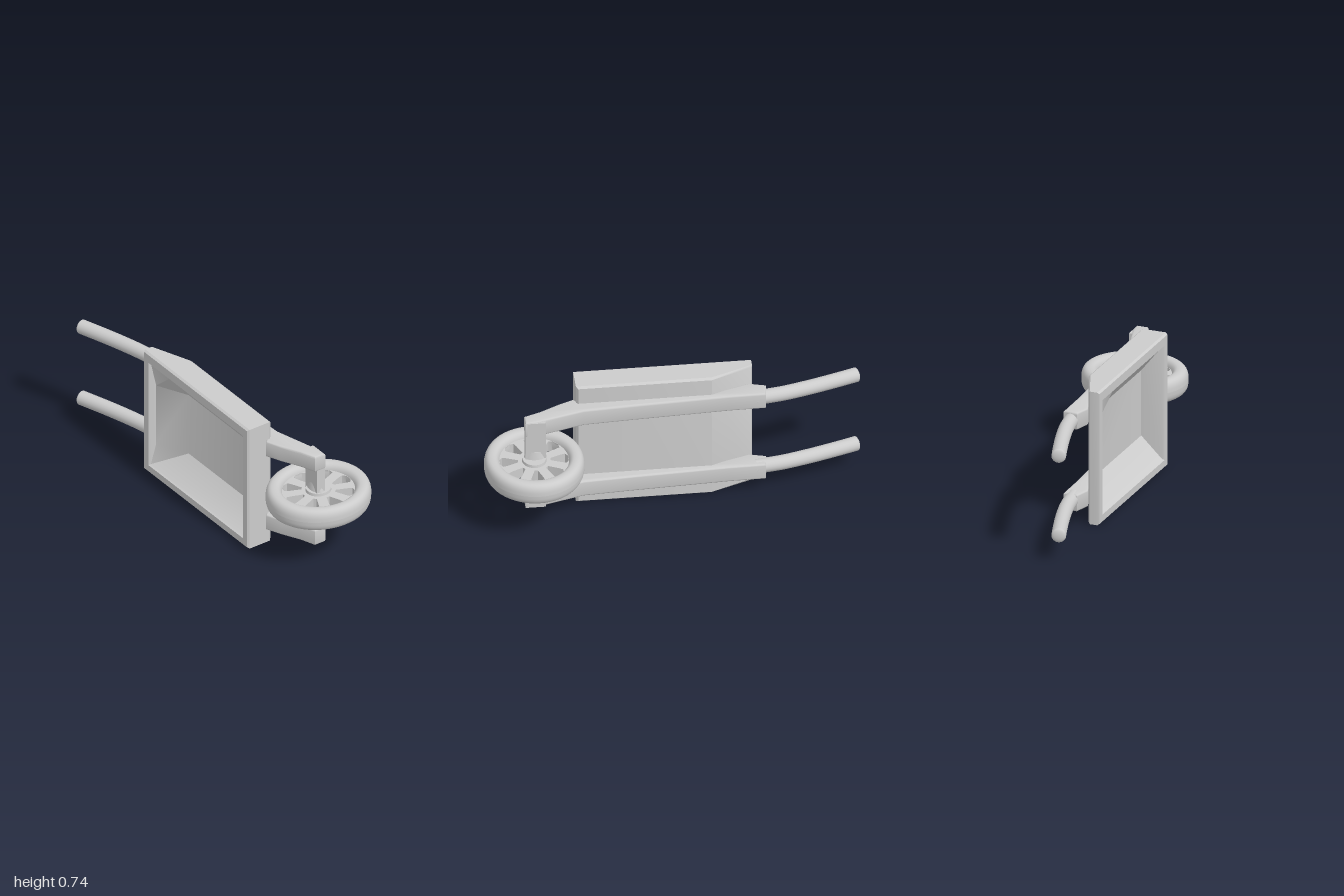
import * as THREE from 'three';
import { toCreasedNormals } from 'three/addons/utils/BufferGeometryUtils.js';

const material = new THREE.MeshStandardMaterial({ color: 0xcccccc });
const MID_Y = 0.366;

function mesh(name, geometry) {
  const m = new THREE.Mesh(geometry, material);
  m.name = name;
  return m;
}

// Extrudes an x/z outline along y, centred on the given height
function slab(shape, centreY, height, bevel) {
  const depth = height - 2 * bevel;
  const g = new THREE.ExtrudeGeometry(shape, {
    depth, bevelEnabled: bevel > 0, bevelSize: bevel, bevelThickness: bevel,
    bevelOffset: -bevel, bevelSegments: 3, curveSegments: 24,
  });
  g.rotateX(Math.PI / 2);
  g.translate(0, centreY + depth / 2, 0);
  return toCreasedNormals(g, 0.7);
}

// Hollow tray: six-cornered rings joined from the underside, over the rim, to the floor
function trayGeometry() {
  const ring = (x0, x1, x2, y0, y1, z0, z1) => [
    [x0, y0, z0], [x1, y0, z1], [x2, y0, z1],
    [x2, y1, z1], [x1, y1, z1], [x0, y1, z0],
  ];
  const rings = [
    ring(-0.425, -0.21, 0.492, 0.014, 0.736, 0.2, 0.11),
    ring(-0.43, -0.21, 0.503, 0.004, 0.746, 0.208, 0.122),
    ring(-0.43, -0.21, 0.503, 0.004, 0.746, 0.25, 0.25),
    ring(-0.427, -0.21, 0.495, 0.012, 0.738, 0.262, 0.262),
    ring(-0.385, -0.21, 0.458, 0.05, 0.69, 0.262, 0.262),
    ring(-0.38, -0.21, 0.452, 0.055, 0.683, 0.25, 0.25),
    ring(-0.372, -0.2, 0.44, 0.175, 0.54, 0.222, 0.137),
  ];
  const pos = [];
  const quad = (a, b, c, d) => pos.push(...a, ...b, ...c, ...a, ...c, ...d);
  for (let i = 0; i < rings.length - 1; i++) {
    const a = rings[i], b = rings[i + 1];
    for (let k = 0; k < 6; k++) {
      const n = (k + 1) % 6;
      quad(a[k], a[n], b[n], b[k]);
    }
  }
  const u = rings[0], f = rings[rings.length - 1];
  quad(u[0], u[5], u[4], u[1]);
  quad(u[1], u[4], u[3], u[2]);
  quad(f[0], f[1], f[4], f[5]);
  quad(f[1], f[2], f[3], f[4]);
  const g = new THREE.BufferGeometry();
  g.setAttribute('position', new THREE.Float32BufferAttribute(pos, 3));
  g.computeVertexNormals();
  return toCreasedNormals(g, 0.5);
}

// Rail outline, from the handle socket to the axle bracket
function railShape() {
  const s = new THREE.Shape();
  s.moveTo(-0.49, 0.085);
  s.lineTo(-0.3, 0.083);
  s.lineTo(0.2, 0.06);
  s.lineTo(0.47, 0.045);
  s.lineTo(0.72, -0.026);
  s.lineTo(0.785, -0.032);
  s.lineTo(0.785, 0.034);
  s.lineTo(0.7, 0.066);
  s.lineTo(0.6, 0.118);
  s.lineTo(0.515, 0.155);
  s.lineTo(0.495, 0.135);
  s.lineTo(-0.22, 0.13);
  s.lineTo(-0.41, 0.19);
  s.lineTo(-0.5, 0.165);
  s.closePath();
  return s;
}

// Wheel disc with eight tapered openings
function discShape() {
  const s = new THREE.Shape();
  s.absarc(0, 0, 0.212, 0, Math.PI * 2);
  for (let i = 0; i < 8; i++) {
    const a = (i * Math.PI) / 4;
    const at = (r, t) => new THREE.Vector2(r * Math.cos(a + t), r * Math.sin(a + t));
    const hole = new THREE.Path();
    hole.setFromPoints([
      at(0.09, -0.1), at(0.15, -0.21), at(0.178, -0.22), at(0.19, -0.1),
      at(0.19, 0.1), at(0.178, 0.22), at(0.15, 0.21), at(0.09, 0.1),
    ]);
    hole.closePath();
    s.holes.push(hole);
  }
  return s;
}

function createWheel() {
  const wheel = new THREE.Group();
  wheel.name = 'wheel';
  // Rounded tyre section swept round the axle
  const profile = [];
  for (let i = 0; i <= 28; i++) {
    const t = (i / 28) * Math.PI * 2;
    const c = Math.cos(t), n = Math.sin(t);
    profile.push(new THREE.Vector2(
      0.232 + 0.044 * Math.sign(c) * Math.abs(c) ** 0.8,
      0.063 * Math.sign(n) * Math.abs(n) ** 0.8));
  }
  wheel.add(mesh('tyre', new THREE.LatheGeometry(profile, 56)));
  wheel.add(mesh('spokedDisc', slab(discShape(), 0, 0.06, 0)));
  wheel.add(mesh('hub', toCreasedNormals(new THREE.CylinderGeometry(0.065, 0.08, 0.09, 32), 0.7)));
  wheel.position.set(0.738, MID_Y - 0.001, -0.022);
  wheel.scale.set(0.95, 1, 1.025);
  return wheel;
}

function createHandle(y) {
  const handle = new THREE.Group();
  handle.name = 'handle';
  const path = new THREE.CatmullRomCurve3([
    [-0.982, 0.263], [-0.86, 0.222], [-0.72, 0.179], [-0.58, 0.143], [-0.44, 0.122],
  ].map(([x, z]) => new THREE.Vector3(x, y, z)));
  handle.add(mesh('grip', new THREE.TubeGeometry(path, 24, 0.039, 20)));
  // Softly domed end
  const cap = mesh('gripEnd', new THREE.SphereGeometry(0.039, 20, 12));
  cap.scale.x = 0.4;
  cap.rotation.y = 0.32;
  cap.position.set(-0.982, y, 0.263);
  handle.add(cap);
  return handle;
}

export function createModel() {
  const model = new THREE.Group();
  model.name = 'wheelbarrow';
  model.add(mesh('tray', trayGeometry()));
  for (const [railY, handleY] of [[0.595, 0.595], [0.138, 0.15]]) {
    model.add(mesh('rail', slab(railShape(), railY, 0.095, 0.01)));
    model.add(createHandle(handleY));
  }
  // Axle bar between the rails, with flared collars beside the wheel
  const axle = mesh('axle', new THREE.BoxGeometry(0.105, 0.54, 0.05));
  axle.position.set(0.731, MID_Y, -0.006);
  model.add(axle);
  for (const side of [-1, 1]) {
    const r = [0.045, 0.062];
    const collar = mesh('axleCollar', new THREE.CylinderGeometry(
      side > 0 ? r[0] : r[1], side > 0 ? r[1] : r[0], 0.05, 24));
    collar.scale.z = 0.6;
    collar.position.set(0.731, MID_Y + side * 0.062, -0.008);
    model.add(collar);
  }
  model.add(createWheel());
  return model;
}
